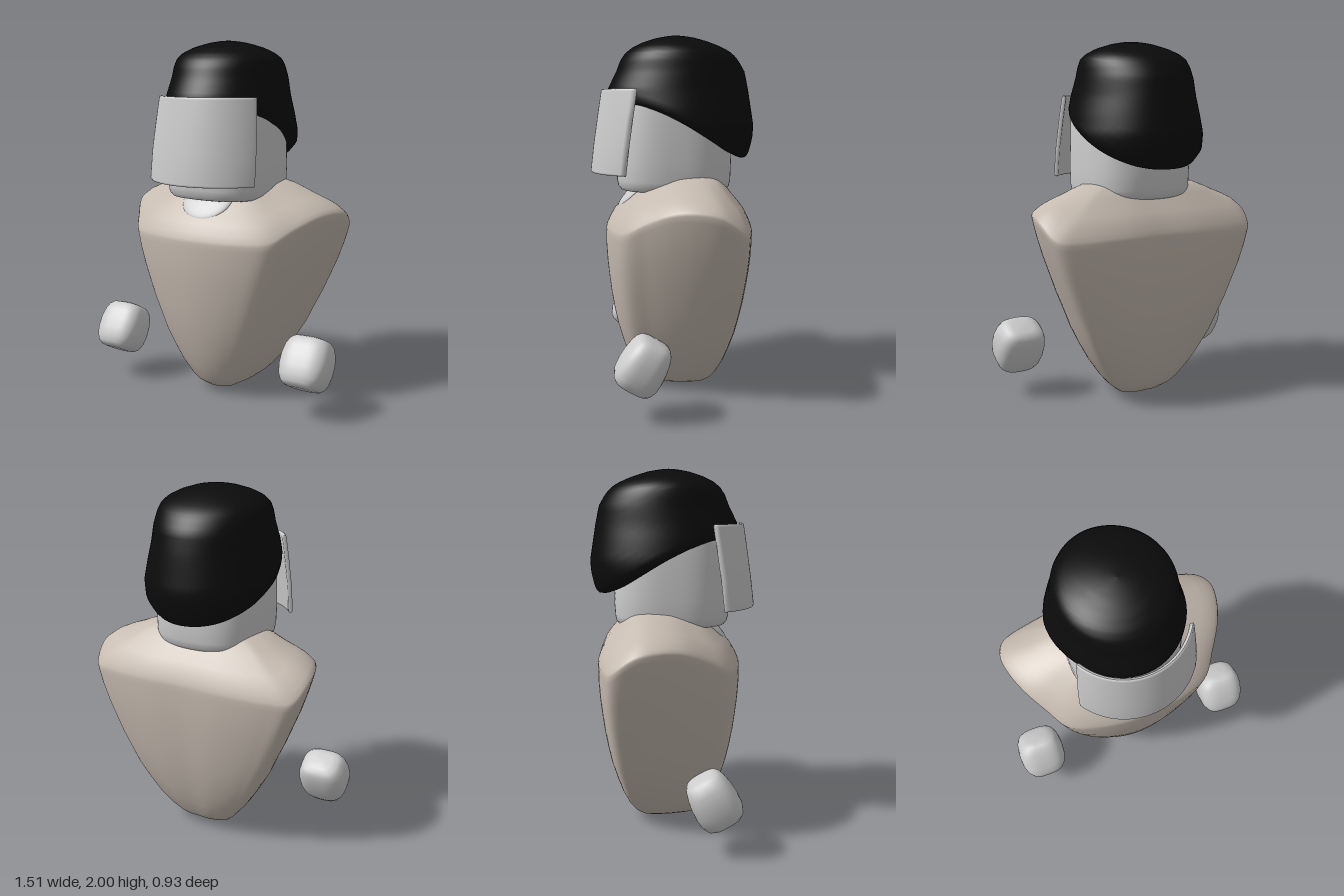
import * as THREE from 'three';

const N = 72; // columns round every closed loop
const grey = new THREE.MeshStandardMaterial({ color: 0xcccccc });
const tan = new THREE.MeshStandardMaterial({ color: 0xc6bbb0 });
const black = new THREE.MeshStandardMaterial({ color: 0x0b0b0b });

// Skin a stack of closed loops, listed bottom to top, each running from +z towards +x
function loft(name, rings, material) {
  const n = rings[0].length, index = [];
  for (let i = 0; i < rings.length - 1; i++) {
    for (let j = 0; j < n; j++) {
      const k = (j + 1) % n, a = i * n + j, b = i * n + k;
      index.push(a, b, b + n, a, b + n, a + n);
    }
  }
  const geometry = new THREE.BufferGeometry();
  geometry.setAttribute('position', new THREE.Float32BufferAttribute(rings.flat(2), 3));
  geometry.setIndex(index);
  geometry.computeVertexNormals();
  const mesh = new THREE.Mesh(geometry, material);
  mesh.name = name;
  return mesh;
}

// Rounded rectangle-like loop; e = 2 is an ellipse, larger is squarer
function superLoop(y, rx, rz, e, zc = 0) {
  return Array.from({ length: N }, (_, j) => {
    const t = (j / N) * Math.PI * 2, s = Math.sin(t), c = Math.cos(t);
    return [
      Math.sign(s) * Math.abs(s) ** (2 / e) * rx, y,
      zc + Math.sign(c) * Math.abs(c) ** (2 / e) * rz,
    ];
  });
}

// Linear lookup in rows [key, value, ...] sorted by rising key
function lookup(rows, key, col) {
  let i = 1;
  while (i < rows.length - 1 && rows[i][0] < key) i++;
  const a = rows[i - 1], b = rows[i];
  const t = THREE.MathUtils.clamp((key - a[0]) / (b[0] - a[0]), 0, 1);
  return a[col] + (b[col] - a[col]) * t;
}

// Torso: a shoulder rim, shrunk downwards to a rounded point and domed above
function makeTorso() {
  const half = [
    [0, 0.93, 0.38], [0.26, 0.93, 0.35], [0.42, 0.94, 0.29], [0.51, 1.01, 0.17], [0.59, 1.065, 0.04],
    [0.64, 1.075, -0.09], [0.655, 1.05, -0.21], [0.61, 0.96, -0.335], [0.5, 0.955, -0.375],
    [0.25, 0.965, -0.413], [0, 0.97, -0.415],
  ];
  const mirrored = half.slice(1, -1).reverse().map(([x, y, z]) => [-x, y, z]);
  const curve = new THREE.CatmullRomCurve3(
    [...half, ...mirrored].map((p) => new THREE.Vector3(...p)), true);
  const rim = curve.getSpacedPoints(N * 2).slice(0, -1);
  // [height share, width share, depth share]
  const lower = [
    [0, 0, 0], [0.003, 0.08, 0.17], [0.012, 0.15, 0.31], [0.03, 0.21, 0.43], [0.06, 0.27, 0.53],
    [0.1, 0.33, 0.6], [0.19, 0.44, 0.7], [0.28, 0.53, 0.77], [0.38, 0.62, 0.84], [0.48, 0.69, 0.89],
    [0.58, 0.765, 0.93], [0.68, 0.83, 0.96], [0.78, 0.895, 0.985], [0.88, 0.95, 1], [0.96, 0.987, 1],
    [0.99, 0.998, 1],
  ];
  // [distance share from the centre, rise share]
  const upper = [
    [0.99, 0.03], [0.96, 0.13], [0.9, 0.29], [0.82, 0.43], [0.72, 0.58], [0.62, 0.74],
    [0.52, 0.88], [0.42, 0.96], [0.25, 1], [0, 1],
  ];
  const rings = [
    ...lower.map(([h, w, d]) => rim.map((p) => [p.x * w, p.y * h, -0.02 + (p.z + 0.02) * d])),
    ...upper.map(([f, g]) => rim.map((p) =>
      [p.x * f, p.y + (1.24 - p.y) * g, -0.08 + (p.z + 0.08) * f])),
  ];
  return loft('torso', rings, tan);
}

// Helmet: flared shell with a rim that falls towards the back
function makeHelmet() {
  // [y, half width, front z, back z]
  const shell = [
    [1.36, 0.36, 0.37, -0.44], [1.42, 0.372, 0.37, -0.457], [1.5, 0.376, 0.37, -0.463],
    [1.6, 0.358, 0.37, -0.447], [1.7, 0.334, 0.365, -0.431], [1.8, 0.316, 0.315, -0.41],
    [1.86, 0.306, 0.292, -0.375], [1.9, 0.293, 0.265, -0.34], [1.93, 0.262, 0.228, -0.29],
    [1.96, 0.203, 0.167, -0.217], [1.985, 0.12, 0.09, -0.135], [1.997, 0.05, 0.02, -0.065],
    [2, 0, -0.02, -0.02],
  ];
  const rimY = (z) => {
    const t = THREE.MathUtils.smoothstep(z, -0.62, 0.32);
    return 1.285 + 0.335 * t;
  };
  const point = (j, y, scale, dy = 0) => {
    const t = (j / N) * Math.PI * 2, c = Math.cos(t);
    const [rx, zf, zb] = [1, 2, 3].map((k) => lookup(shell, y, k));
    const mid = (zf + zb) / 2;
    return [-0.008 + Math.sin(t) * rx * scale, y + dy, mid + c * ((zf - zb) / 2) * scale];
  };
  const edge = Array.from({ length: N }, (_, j) => rimY(-0.045 + 0.415 * Math.cos((j / N) * Math.PI * 2)));
  const ring = (f) => edge.map((y, j) => f(j, y));
  // underside, rounded lip, then the shell itself
  const lip = [[0.7, 0.06], [0.8, 0.02], [0.88, 0.003], [0.94, 0.006], [0.975, 0.02]];
  const rings = lip.map(([s, dy]) => ring((j, y) => point(j, y, s, dy)));
  for (let i = 0; i <= 28; i++) {
    const u = 1 - (1 - i / 28) ** 1.7;
    rings.push(ring((j, y) => point(j, y + 0.045 + (1.955 - y) * u, 1)));
  }
  return loft('helmet', rings, black);
}

// Visor: thin arched plate leaning back towards the top
function makeVisor() {
  // [y, half chord, front z, thickness]
  const rows = [
    [1.238, 0.322, 0.452, 0], [1.24, 0.33, 0.46, 0.015], [1.25, 0.335, 0.464, 0.024],
    [1.4, 0.332, 0.446, 0.024], [1.55, 0.322, 0.424, 0.024], [1.69, 0.31, 0.402, 0.024],
    [1.7, 0.308, 0.399, 0.016], [1.703, 0.306, 0.392, 0],
  ];
  const rings = rows.map(([y, half, front, thick]) => {
    const sag = 0.18, r = (half * half + sag * sag) / (2 * sag), a = Math.asin(half / r);
    const arc = (radius) => Array.from({ length: 33 }, (_, i) => {
      const t = a * (i / 16 - 1);
      return [Math.sin(t) * radius, y, front - r + Math.cos(t) * radius];
    });
    return [...arc(r), ...arc(r - thick).reverse()];
  });
  return loft('visor', rings, grey);
}

// Head: soft-cornered block, capped inside the helmet
function makeHead() {
  const rows = [
    [1.14, 0, 0], [1.14, 0.26, 0.275], [1.146, 0.285, 0.3], [1.165, 0.3, 0.315], [1.2, 0.307, 0.322],
    [1.3, 0.31, 0.325], [1.6, 0.305, 0.31], [1.66, 0.28, 0.28], [1.66, 0, 0],
  ];
  return loft('head', rows.map(([y, rx, rz]) => superLoop(y, rx, rz, 2.7, -0.005)), grey);
}

// Hand: tapered rounded block, tilted down and forwards
function makeHand(side) {
  const rows = [
    [-0.138, 0, 0], [-0.138, 0.06, 0.06], [-0.132, 0.09, 0.088], [-0.115, 0.112, 0.108],
    [-0.08, 0.129, 0.122], [-0.03, 0.139, 0.125], [0.03, 0.14, 0.121], [0.08, 0.132, 0.112],
    [0.115, 0.117, 0.1], [0.135, 0.096, 0.083], [0.144, 0.06, 0.055], [0.145, 0, 0],
  ];
  const hand = loft(side > 0 ? 'leftHand' : 'rightHand',
    rows.map(([y, rx, rz]) => superLoop(y, rx, rz, 3)), grey);
  hand.position.set(0.615 * side, 0.293, 0.2);
  hand.rotation.x = -0.52;
  return hand;
}

export function createModel() {
  const group = new THREE.Group();
  // Throat: shallow oval lying on the front slope of the torso
  const throat = new THREE.Mesh(new THREE.SphereGeometry(1, 32, 16), grey);
  throat.name = 'throat';
  throat.scale.set(0.155, 0.15, 0.025);
  throat.position.set(0, 1.145, 0.205);
  throat.rotation.x = -0.78;
  group.add(makeTorso(), throat, makeHead(), makeVisor(), makeHelmet(), makeHand(1), makeHand(-1));
  return group;
}
